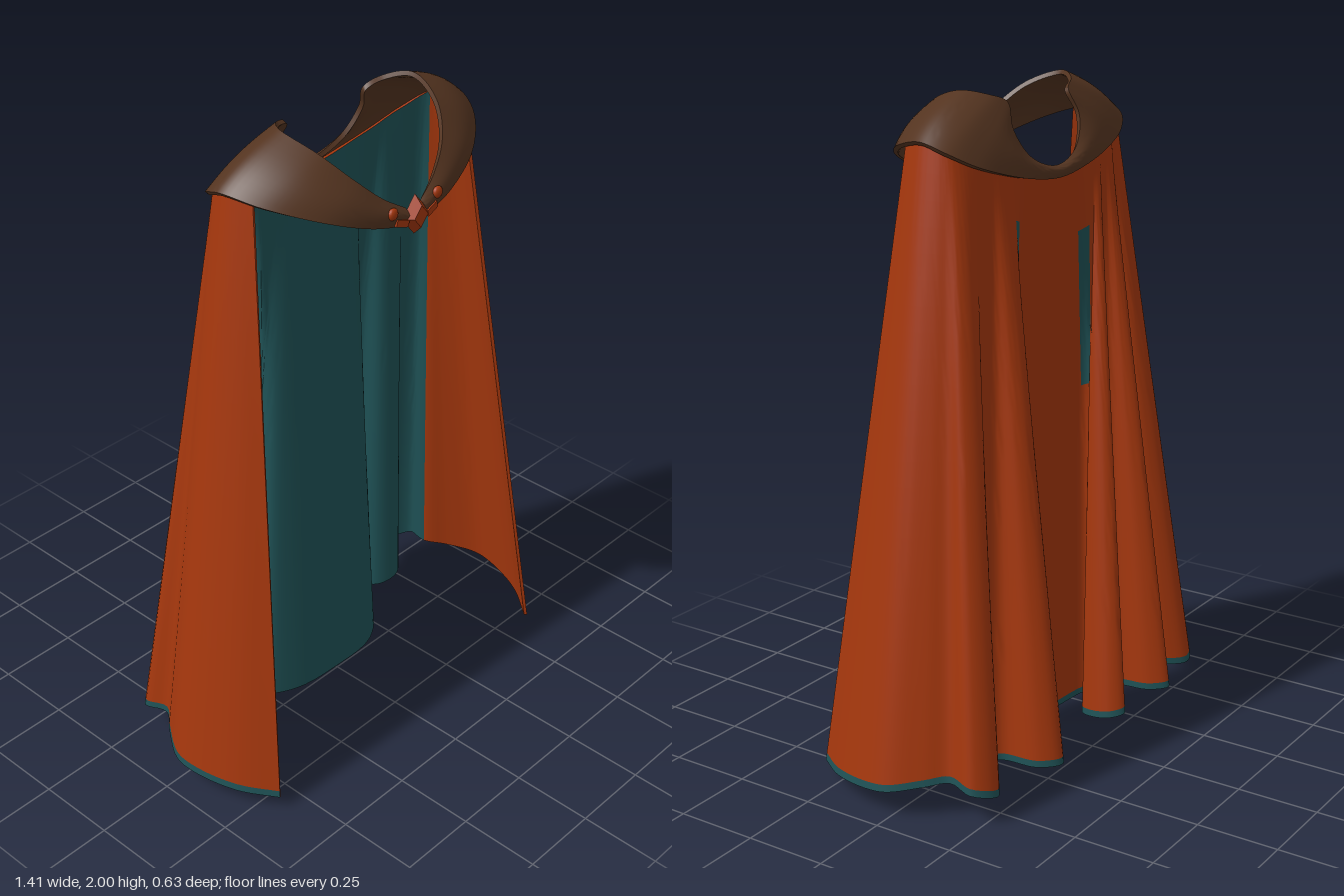
import * as THREE from 'three';
import { toCreasedNormals } from 'three/addons/utils/BufferGeometryUtils.js';

const cloth = new THREE.MeshStandardMaterial({ color: 0xa5370d });
cloth.name = 'rust cloth';
const lining = new THREE.MeshStandardMaterial({ color: 0x1f5256 });
lining.name = 'teal lining';
const leather = new THREE.MeshStandardMaterial({ color: 0x543420 });
leather.name = 'brown leather';

const V = (x, y, z) => new THREE.Vector3(x, y, z);
const spline = pts => new THREE.CatmullRomCurve3(pts.map(p => V(...p)));
// half a symmetric line, from the front to the back centre, continued on the other side
const mirrored = half => [...half, ...half.slice(0, -1).reverse().map(([x, y, z]) => [-x, y, z])];

// Thick sheet: a grid of points, an inner copy offset along the normals, and a closed rim.
// pick(u, v, side) chooses the material index of each quad.
function sheet(point, us, vs, thickness, pick) {
  const nu = us.length, nv = vs.length, n = nu * nv;
  const pos = [], faces = [[], []];
  for (const u of us) for (const v of vs) pos.push(...point(u, v).toArray());
  const quad = (m, a, b, c, d) => faces[m].push(a, b, c, a, c, d);
  const each = fn => {
    for (let i = 0; i < nu - 1; i++) for (let j = 0; j < nv - 1; j++) {
      const a = i * nv + j;
      fn(a, a + 1, a + nv + 1, a + nv, (us[i] + us[i + 1]) / 2, (vs[j] + vs[j + 1]) / 2);
    }
  };
  each((a, b, c, d, u, v) => quad(pick(u, v, 'outer'), a, b, c, d));

  const skin = new THREE.BufferGeometry();
  skin.setAttribute('position', new THREE.Float32BufferAttribute(pos, 3));
  skin.setIndex([...faces[0], ...faces[1]]);
  skin.computeVertexNormals();
  const nor = skin.attributes.normal.array;
  for (let k = 0; k < n * 3; k++) pos.push(pos[k] - nor[k] * thickness);

  each((a, b, c, d, u, v) => quad(pick(u, v, 'inner'), a + n, d + n, c + n, b + n));
  for (let i = 0; i < nu - 1; i++) {
    const t = i * nv, b = t + nv - 1;
    quad(pick(us[i], 0, 'top'), t, t + nv, t + nv + n, t + n);
    quad(pick(us[i], 1, 'hem'), b, b + n, b + nv + n, b + nv);
  }
  for (let j = 0; j < nv - 1; j++) {
    const e = (nu - 1) * nv + j;
    quad(pick(0, vs[j], 'edge'), j, j + n, j + 1 + n, j + 1);
    quad(pick(1, vs[j], 'edge'), e, e + 1, e + 1 + n, e + n);
  }

  const geo = new THREE.BufferGeometry();
  geo.setAttribute('position', new THREE.Float32BufferAttribute(pos, 3));
  geo.setIndex([...faces[0], ...faces[1]]);
  geo.addGroup(0, faces[0].length, 0);
  if (faces[1].length) geo.addGroup(faces[0].length, faces[1].length, 1);
  return toCreasedNormals(geo, 1.0);
}

const steps = n => Array.from({ length: n + 1 }, (_, i) => i / n);

// Hem controls: x, z, y and the matching place along the shoulder line
const sideHem = [
  [.585, .315, .045, 0], [.66, .21, .058, .025], [.702, .08, .072, .05], [.703, 0, .082, .075],
  [.65, -.09, .1, .1], [.605, -.15, .11, .12], [.62, -.23, .1, .14], [.55, -.275, .08, .165],
];
const backHem = [
  [.49, -.23, .08, .19], [.45, -.15, .08, .21], [.4, -.125, .08, .23], [.34, -.15, .07, .25],
  [.325, -.26, .07, .27], [.27, -.31, .07, .29], [.215, -.27, .06, .31], [.22, -.16, .04, .335],
  [.24, -.08, .025, .355], [.17, -.025, .005, .39], [0, -.015, 0, .48], [-.17, -.025, .01, .555],
  [-.265, -.065, .03, .585], [-.22, -.13, .04, .63], [-.1, -.15, .045, .675], [-.08, -.25, .06, .685],
  [-.12, -.29, .07, .692], [-.165, -.25, .07, .699], [-.18, -.16, .07, .707], [-.24, -.125, .07, .718],
  [-.29, -.17, .07, .73], [-.3, -.27, .075, .742], [-.345, -.32, .08, .755], [-.39, -.27, .08, .768],
  [-.4, -.16, .08, .78], [-.44, -.13, .08, .795], [-.49, -.23, .08, .812],
];

function cape() {
  const hem = [...sideHem, ...backHem,
    ...sideHem.map(([x, z, y, a]) => [-x, z, y, 1 - a]).reverse()];
  const hemLine = spline(hem.map(([x, z, y]) => [x, y, z]));
  const shoulderLine = spline(mirrored([
    [.425, 1.868, .1], [.447, 1.875, .03], [.432, 1.865, -.04],
    [.35, 1.825, -.085], [.22, 1.785, -.108], [0, 1.755, -.113],
  ]));
  const segs = hem.length - 1;
  const point = (u, v) => {
    const k = Math.min(Math.floor(u * segs), segs - 1);
    const a = THREE.MathUtils.lerp(hem[k][3], hem[k + 1][3], u * segs - k);
    return shoulderLine.getPointAt(THREE.MathUtils.clamp(a, 0, 1)).lerp(hemLine.getPoint(u), v);
  };
  // teal: the back lining, the hem band and two slits deep between the back folds;
  // the front facings on both sides stay rust inside
  const pick = (u, v, side) => {
    const k = u * segs;
    if (side === 'hem') return 1;
    if (side === 'inner') return k > 5 && k < segs - 5 ? 1 : 0;
    if (side !== 'outer') return 0;
    const slit = (k > 14.4 && k < 15.6 && v > .08 && v < .36) || (k > 20 && k < 21.2 && v > .1 && v < .4);
    return v > .988 || slit ? 1 : 0;
  };
  const rows = [...steps(25).map(v => v * .988), 1];
  const mesh = new THREE.Mesh(sheet(point, steps(segs * 5), rows, .01, pick), [cloth, lining]);
  mesh.name = 'cape';
  return mesh;
}

function collar() {
  const neckLine = spline(mirrored([
    [.03, 1.77, .275], [.1, 1.815, .26], [.175, 1.885, .225], [.235, 1.958, .15], [.26, 1.998, .04],
    [.21, 1.985, -.025], [.155, 1.96, -.05], [.17, 1.89, -.078], [.12, 1.81, -.102], [0, 1.77, -.113],
  ]));
  const outerLine = spline(mirrored([
    [.03, 1.72, .287], [.16, 1.755, .275], [.3, 1.81, .232], [.42, 1.862, .13], [.465, 1.885, .02],
    [.45, 1.86, -.05], [.38, 1.82, -.095], [.26, 1.78, -.118], [.13, 1.75, -.125], [0, 1.736, -.127],
  ]));
  const point = (u, v) => {
    const p = neckLine.getPoint(u).lerp(outerLine.getPoint(u), v);
    const out = V(p.x, 0, p.z - .05).normalize().add(V(0, .6, 0));
    return p.addScaledVector(out, .012 * Math.sin(Math.PI * v));
  };
  const mesh = new THREE.Mesh(sheet(point, steps(126), steps(10), .014, () => 0), leather);
  mesh.name = 'shoulderCollar';
  return mesh;
}

function clasp() {
  const group = new THREE.Group();
  group.name = 'clasp';
  const add = (name, geo, x, y, z) => {
    const mesh = new THREE.Mesh(geo, cloth);
    mesh.name = name;
    mesh.position.set(x, y, z);
    group.add(mesh);
    return mesh;
  };
  // diamond with a bevelled face
  const diamond = new THREE.CylinderGeometry(.55, 1, 1, 4).rotateX(Math.PI / 2).toNonIndexed();
  diamond.computeVertexNormals();
  add('diamond', diamond, 0, 1.743, .294).scale.set(.05, .06, .026);
  for (const s of [-1, 1]) {
    add('button', new THREE.SphereGeometry(.018, 16, 12), s * .09, 1.775, .284).scale.z = .6;
    const tab = add('tab', new THREE.BoxGeometry(.045, .02, .012), s * .06, 1.74, .289);
    tab.rotation.set(0, s * .1, s * .3);
  }
  return group;
}

export function createModel() {
  const model = new THREE.Group();
  model.name = 'hoodlessCape';
  model.add(cape(), collar(), clasp());
  return model;
}
